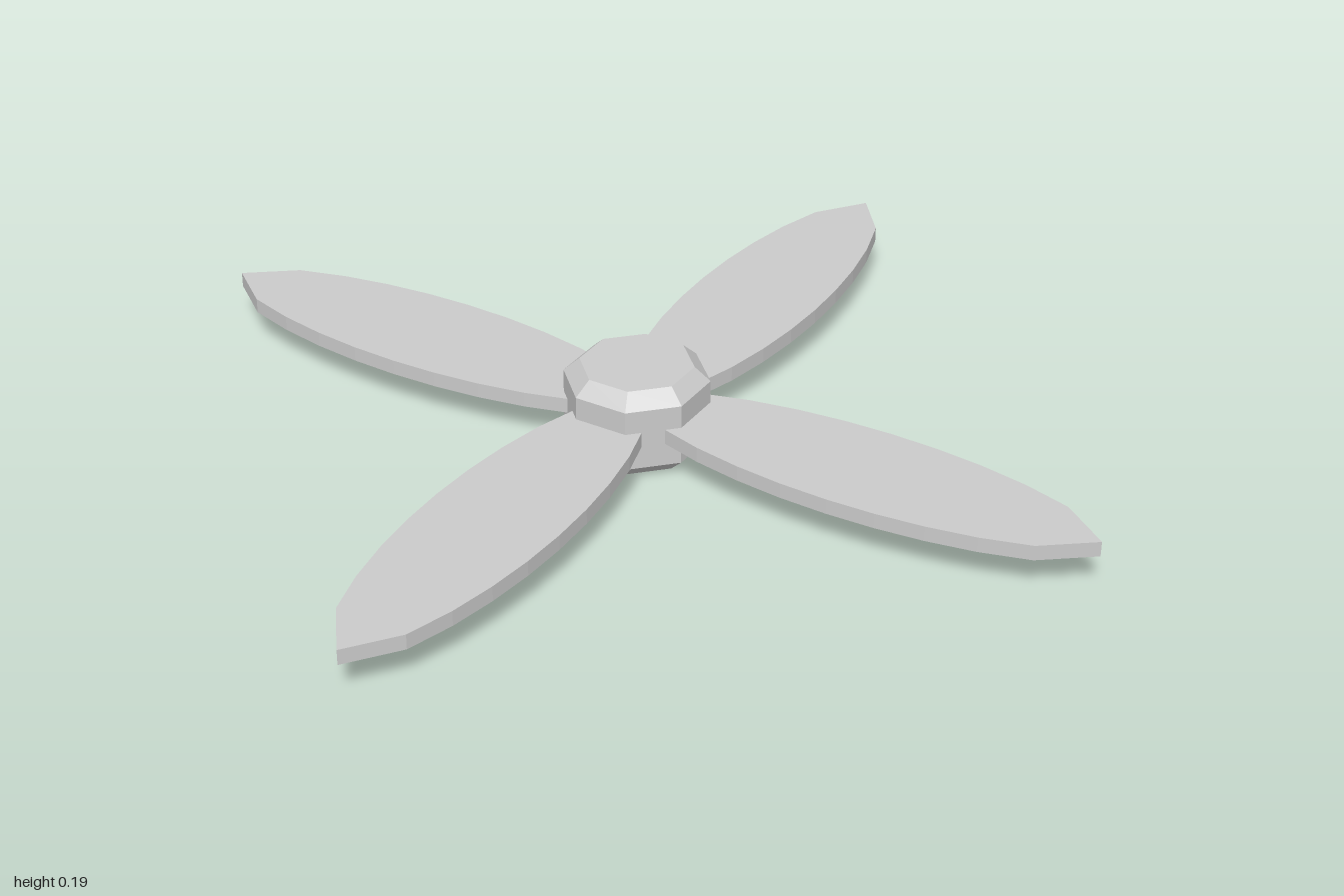
import * as THREE from 'three';

const material = new THREE.MeshStandardMaterial({ color: 0xcccccc, flatShading: true });

// Chamfered octagonal hub, flats facing the axes
function createHub() {
  const corner = 1 / Math.cos(Math.PI / 8);
  const profile = [[0, 0], [0.107, 0], [0.137, 0.03], [0.137, 0.16], [0.107, 0.19], [0, 0.19]]
    .map(([r, y]) => new THREE.Vector2(r * corner, y));
  const hub = new THREE.Mesh(new THREE.LatheGeometry(profile, 8, Math.PI / 8), material);
  hub.name = 'hub';
  return hub;
}

// Flat leaf-shaped blade, running from the centre to a point at radius 1
function createBladeGeometry() {
  const steps = 10;
  const upper = [], lower = [];
  for (let i = 0; i <= steps; i++) {
    const t = i / steps;
    const half = 0.137 * Math.sqrt(Math.max(0, Math.sin(Math.PI * t)));
    lower.push(new THREE.Vector2(t, -half));
    if (i > 0 && i < steps) upper.unshift(new THREE.Vector2(t, half));
  }
  lower[steps].y = 0;
  const geometry = new THREE.ExtrudeGeometry(new THREE.Shape([...lower, ...upper]), {
    depth: 0.032, bevelEnabled: false,
  });
  return geometry.rotateX(-Math.PI / 2).translate(0, 0.079, 0);
}

export function createModel() {
  const model = new THREE.Group();
  model.name = 'rotor';
  model.add(createHub());

  // Four blades at right angles
  const bladeGeometry = createBladeGeometry();
  for (let i = 0; i < 4; i++) {
    const blade = new THREE.Mesh(bladeGeometry, material);
    blade.name = `blade${i + 1}`;
    blade.rotation.y = (i * Math.PI) / 2;
    model.add(blade);
  }
  return model;
}
